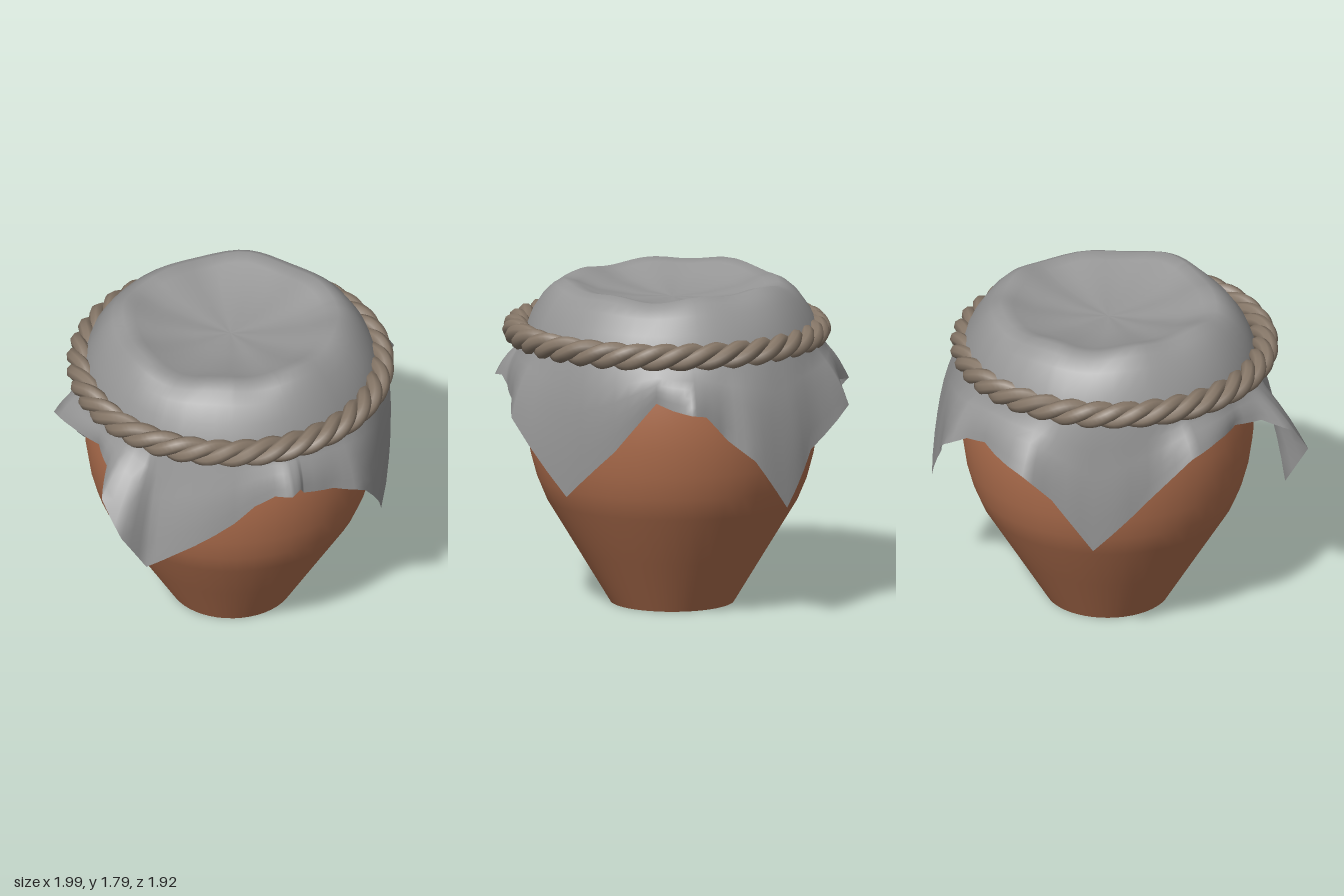
import * as THREE from 'three';

const mat = (name, color, side = THREE.FrontSide) => {
  const m = new THREE.MeshStandardMaterial({ color, side });
  m.name = name;
  return m;
};

// Hem of the cloth: [azimuth in degrees from the front towards +x, radius, height]
const HEM = [
  [0, 0.89, 1.19], [12, 0.89, 1.15], [23, 0.95, 1.08], [46, 0.84, 0.69],
  [67, 0.84, 0.97], [83, 0.85, 1.25], [89, 0.9, 1.22], [95, 1.0, 1.21],
  [100, 0.94, 1.19], [108, 0.9, 1.05], [117, 0.95, 0.93], [130, 0.94, 0.65],
  [145, 0.9, 0.93], [163, 0.99, 1.13], [170, 0.92, 1.2], [178, 0.9, 1.22],
  [198, 1.01, 1.16], [206, 0.92, 1.0], [220, 0.86, 0.68], [240, 0.86, 0.97],
  [253, 0.98, 1.24], [265, 0.93, 1.27], [278, 0.87, 1.27], [288, 0.94, 1.25],
  [294, 1.09, 1.16], [302, 1.12, 0.98], [306, 0.98, 0.73], [315, 0.96, 0.84],
  [335, 0.9, 1.05], [342, 0.9, 1.16], [349, 0.91, 1.22], [354, 0.96, 1.23], [358, 0.92, 1.24],
];

// Sagging top of the cloth down to the tie: [radius, height, wrinkle strength]
const TOP = [
  [0, 1.67, 0], [0.2, 1.675, 0.2], [0.4, 1.705, 0.5], [0.51, 1.75, 0.9], [0.58, 1.765, 1],
  [0.635, 1.74, 0.9], [0.69, 1.69, 0.6], [0.75, 1.6, 0.3], [0.79, 1.5, 0], [0.815, 1.42, 0],
];

function clothGeometry() {
  // columns follow the hem, with extra ones between its points
  const SUB = 3, DRAPE = 5, columns = [];
  HEM.forEach((p, i) => {
    const q = HEM[(i + 1) % HEM.length];
    const end = i === HEM.length - 1 ? q[0] + 360 : q[0];
    for (let k = 0; k < SUB; k++) {
      const t = k / SUB;
      columns.push([
        THREE.MathUtils.degToRad(THREE.MathUtils.lerp(p[0], end, t)),
        THREE.MathUtils.lerp(p[1], q[1], t),
        THREE.MathUtils.lerp(p[2], q[2], t),
      ]);
    }
  });
  const n = columns.length, rows = TOP.length + DRAPE, pos = [], index = [];
  for (let j = 0; j < rows; j++) {
    for (const [a, hemR, hemY] of columns) {
      let r, y;
      if (j < TOP.length) {
        const w = TOP[j][2];
        r = TOP[j][0] + 0.012 * w * Math.sin(5 * a + 0.6);
        y = TOP[j][1] + w * (0.012 * Math.sin(3 * a + 1) + 0.01 * Math.sin(8 * a));
      } else {
        const s = (j - TOP.length + 1) / DRAPE;
        r = THREE.MathUtils.lerp(0.815, hemR, s) + 0.02 * Math.sin(Math.PI * s);
        y = THREE.MathUtils.lerp(1.42, hemY, s);
      }
      // the tied part sits slightly left of centre, the hem is centred
      const shift = j < TOP.length ? -0.02 : 0;
      pos.push(r * Math.sin(a) + shift, y, r * Math.cos(a));
    }
  }
  for (let j = 0; j < rows - 1; j++) {
    for (let i = 0; i < n; i++) {
      const a = j * n + i, b = j * n + (i + 1) % n, c = a + n, d = b + n;
      if (j > 0) index.push(a, c, b);
      index.push(b, c, d);
    }
  }
  const g = new THREE.BufferGeometry();
  g.setAttribute('position', new THREE.Float32BufferAttribute(pos, 3));
  g.setIndex(index);
  g.computeVertexNormals();
  return g;
}

// One rope strand winding around a ring
class Strand extends THREE.Curve {
  constructor(phase) {
    super();
    this.phase = phase;
  }
  getPoint(t, target = new THREE.Vector3()) {
    const a = t * Math.PI * 2, f = 12 * a + this.phase;
    const r = 0.812 + 0.036 * Math.cos(f);
    return target.set(r * Math.sin(a), 0.036 * Math.sin(f), r * Math.cos(a));
  }
}

export function createModel() {
  const model = new THREE.Group();
  model.name = 'coveredPot';
  const clay = mat('terracotta', 0xb06f4e);
  const linen = mat('grey cloth', 0x969696, THREE.DoubleSide);
  const hemp = mat('rope brown', 0x857667);
  const add = (parent, name, geometry, material) => {
    const m = new THREE.Mesh(geometry, material);
    m.name = name;
    parent.add(m);
    return m;
  };

  // Clay pot
  const pot = new THREE.Group();
  pot.name = 'pot';
  pot.position.x = -0.015;
  const profile = [
    [0.335, 0], [0.51, 0.29], [0.68, 0.57], [0.73, 0.69], [0.765, 0.82], [0.787, 0.97],
    [0.793, 1.1], [0.785, 1.25], [0.76, 1.4], [0.7, 1.54], [0.62, 1.65], [0.56, 1.66],
  ].map(([r, y]) => new THREE.Vector2(r, y));
  add(pot, 'potBody', new THREE.LatheGeometry(profile, 48), clay);
  add(pot, 'potBase', new THREE.CircleGeometry(0.335, 48).rotateX(Math.PI / 2), clay);
  model.add(pot);

  // Cloth cover
  add(model, 'clothCover', clothGeometry(), linen);

  // Twisted rope tie
  const rope = new THREE.Group();
  rope.name = 'rope';
  rope.position.set(-0.035, 1.49, 0.03);
  for (let k = 0; k < 3; k++) {
    const strand = new Strand((k * Math.PI * 2) / 3);
    add(rope, 'ropeStrand', new THREE.TubeGeometry(strand, 240, 0.04, 8, true), hemp);
  }
  model.add(rope);
  return model;
}
